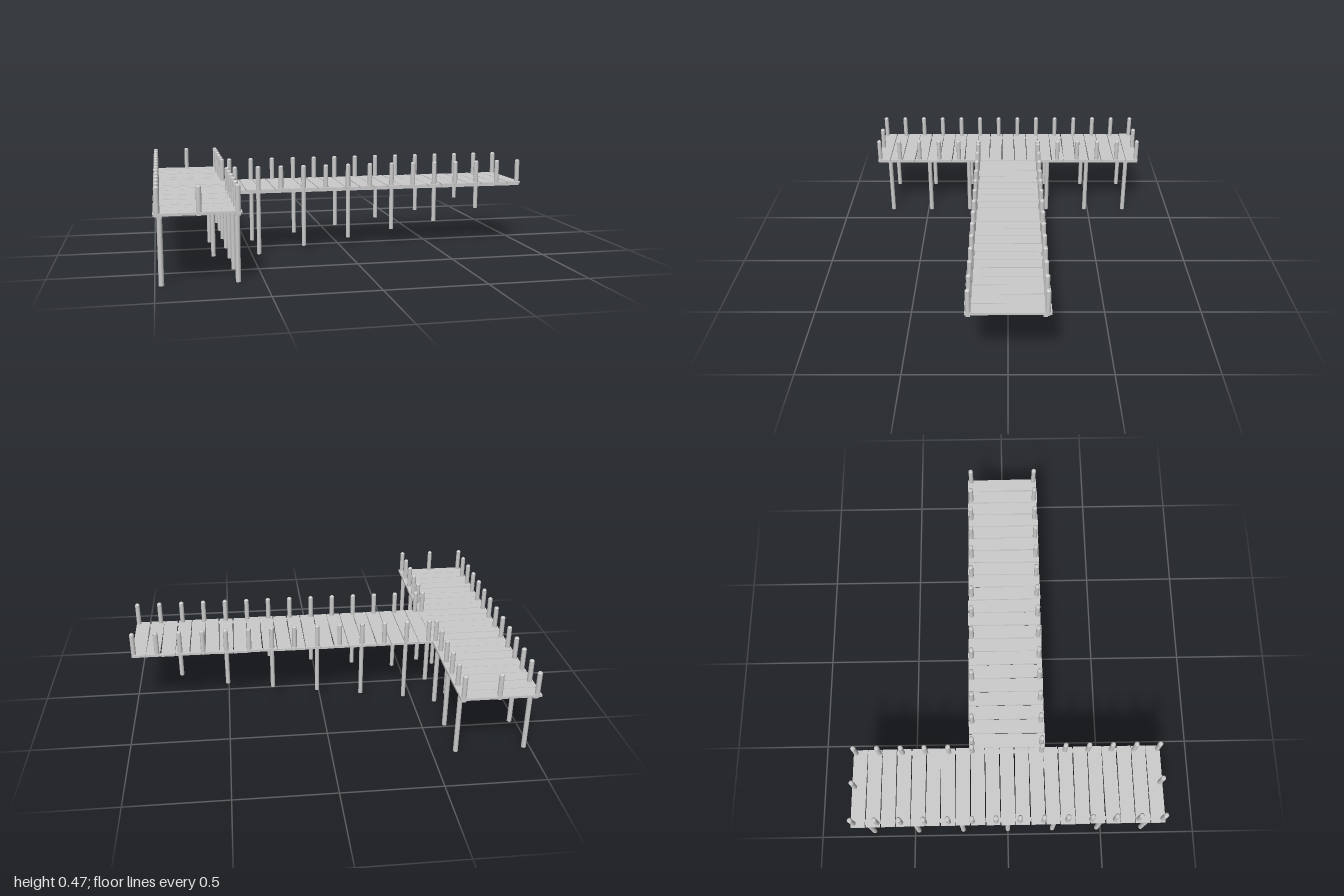
import * as THREE from 'three';

const material = new THREE.MeshStandardMaterial({ color: 0xcccccc });
const R = 0.0125, PLANK_Y = 0.34, TOP = 0.467;

// Repeatable value in -1..1
let seed = 7;
const jitter = () => {
  seed = (seed * 16807) % 2147483647;
  return (seed / 2147483647) * 2 - 1;
};

export function createModel() {
  const model = new THREE.Group();

  const add = (parent, name, geometry, x, y, z) => {
    const mesh = new THREE.Mesh(geometry, material);
    mesh.name = name;
    mesh.position.set(x, y, z);
    parent.add(mesh);
    return mesh;
  };
  const group = (name) => {
    const g = new THREE.Group();
    g.name = name;
    model.add(g);
    return g;
  };

  // Short railing post with a chamfered top
  const postHeight = TOP - 0.33;
  const postGeometry = new THREE.LatheGeometry([
    [0, 0], [R, 0], [R, 0], [R, postHeight - 0.006], [R, postHeight - 0.006],
    [R * 0.6, postHeight], [R * 0.6, postHeight], [0, postHeight],
  ].map(([r, y]) => new THREE.Vector2(r, y)), 12);
  const posts = group('railingPosts');
  const post = (x, z) => add(posts, 'railingPost', postGeometry, x, 0.33, z);

  // Supporting pile reaching from the water bed to the deck
  const piles = group('piles');
  const pile = (x, z, bottom, r = R) => add(piles, 'pile',
    new THREE.CylinderGeometry(r, r, 0.335 - bottom, 12), x, (0.335 + bottom) / 2, z);

  // Cross platform: planks run along x, laid side by side in z
  const platform = group('platformDeck');
  const count = 21, pitchZ = 1.59 / count;
  for (let i = 0; i < count; i++) {
    const plank = add(platform, 'platformPlank', new THREE.BoxGeometry(0.396, 0.012, pitchZ - 0.004),
      -0.8 + jitter() * 0.002, PLANK_Y + jitter() * 0.001, (i - 10) * pitchZ);
    plank.rotation.y = jitter() * 0.01;
  }
  for (const x of [-0.97, -0.62])
    add(platform, 'platformBeam', new THREE.BoxGeometry(0.02, 0.011, 1.58), x, 0.3305, 0);

  // Walkway: planks run along z, laid side by side in x
  const walkway = group('walkwayDeck');
  const pitchX = 1.595 / count;
  for (let i = 0; i < count; i++) {
    const plank = add(walkway, 'walkwayPlank', new THREE.BoxGeometry(pitchX - 0.004, 0.012, 0.396),
      -0.602 + (i + 0.5) * pitchX, PLANK_Y + jitter() * 0.001, jitter() * 0.002);
    plank.rotation.y = jitter() * 0.01;
  }
  for (const z of [-0.17, 0.18])
    add(walkway, 'walkwayBeam', new THREE.BoxGeometry(1.69, 0.011, 0.02), 0.145, 0.3305, z);

  // Railing posts, leaving the walkway entrance open
  for (let i = 0; i < 14; i++) {
    const z = -0.78 + i * 0.12;
    post(-0.98, z);
    if (Math.abs(z) > 0.1) post(-0.62, z);
    for (const side of [-0.18, 0.18]) post(-0.58 + i * 0.12, side);
  }
  for (const z of [-0.78, 0.78]) post(-0.795, z);

  // Platform piles
  for (let i = -3; i <= 3; i++)
    for (const x of [-0.97, -0.62]) pile(x, i * 0.24, 0);

  // Walkway piles get shorter towards the shore
  [0, 0, 0.035, 0.07, 0.105, 0.14, 0.205].forEach((bottom, i) => {
    for (const z of [-0.168, 0.18]) pile(-0.7 + i * 0.24, z, bottom, 0.0115);
  });

  return model;
}
